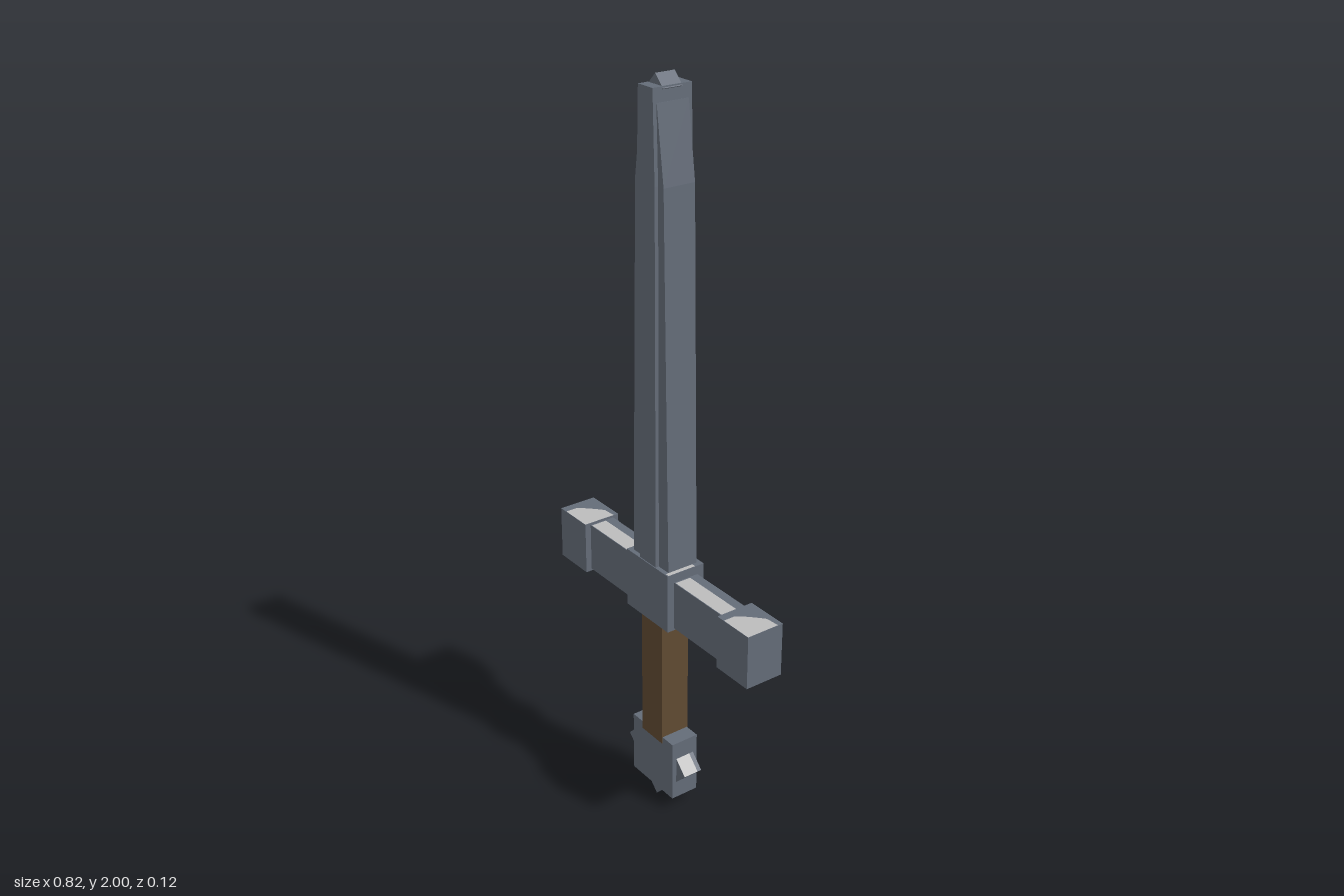
import * as THREE from 'three';

const mat = (name, color) => {
  const m = new THREE.MeshStandardMaterial({ color });
  m.name = name;
  return m;
};

export function createModel() {
  const steel = mat('steel', 0x646c78);
  const leather = mat('brown grip', 0x604a32);
  const shine = mat('pale steel', 0xbcbcbc);
  const sword = new THREE.Group();
  sword.name = 'sword';

  const add = (name, geometry, material, x = 0, y = 0, z = 0, parent = sword) => {
    const mesh = new THREE.Mesh(geometry, material);
    mesh.name = name;
    mesh.position.set(x, y, z);
    parent.add(mesh);
    return mesh;
  };
  // Box given by its width, bottom, top and depth
  const block = (name, material, x, w, y0, y1, d) =>
    add(name, new THREE.BoxGeometry(w, y1 - y0, d), material, x, (y0 + y1) / 2, 0);

  // Symmetrical slab from a right-hand outline of [x, y] points
  const slab = (name, half, depth) => {
    const pts = [...half, ...half.slice().reverse().map(([x, y]) => [-x, y])];
    const shape = new THREE.Shape(pts.map(([x, y]) => new THREE.Vector2(x, y)));
    const geo = new THREE.ExtrudeGeometry(shape, { depth, bevelEnabled: false });
    add(name, geo.translate(0, 0, -depth / 2), steel);
  };

  // Flat inlay on an upward face, outline in [x, z]
  const inlay = (name, pts, x, y) => {
    const shape = new THREE.Shape(pts.map(([px, pz]) => new THREE.Vector2(px, -pz)));
    add(name, new THREE.ShapeGeometry(shape).rotateX(-Math.PI / 2), shine, x, y + 0.001, 0);
  };

  // Square bar turned on its corner; r is half its diagonal
  const spike = (name, x, y, r, d) => {
    const s = r * Math.SQRT2;
    const mesh = add(name, new THREE.BoxGeometry(s, s, d), steel, x, y, 0);
    mesh.rotation.z = Math.PI / 4;
    return mesh;
  };

  // Blade: cutting edges, thicker central ridge and tip
  slab('bladeEdges', [[0.077, 0.7], [0.056, 1.75], [0.03, 1.94]], 0.09);
  slab('bladeRidge', [[0.035, 0.7], [0.035, 1.75], [0.028, 1.975]], 0.11);
  spike('bladeTip', 0, 1.97, 0.03, 0.054);

  // Crossguard
  block('guardCentre', steel, 0, 0.18, 0.583, 0.75, 0.115);
  inlay('guardCentreInlay', [[0.078, -0.03], [0.09, -0.03], [0.09, 0.055], [0.078, 0.055]], 0, 0.75);
  for (const s of [-1, 1]) {
    block('guardArm', steel, s * 0.19, 0.22, 0.589, 0.725, 0.074);
    block('guardEnd', steel, s * 0.35, 0.12, 0.583, 0.731, 0.108);
    inlay('guardArmInlay', [[-0.095, -0.01], [0.1, -0.01], [0.1, 0.036], [-0.095, 0.036]], s * 0.19, 0.725);
    inlay('guardEndInlay', [[-0.034, 0.054], [-0.034, 0.022], [-0.022, 0.005], [0, -0.017],
      [0.022, -0.036], [0.06, -0.039], [0.06, 0.054]], s * 0.35, 0.731);
  }

  // Grip
  block('grip', leather, 0, 0.09, 0.2, 0.6, 0.086);

  // Pommel with three spikes
  block('pommel', steel, 0, 0.18, 0.042, 0.22, 0.082);
  spike('pommelSpikeBottom', 0, 0.041, 0.041, 0.056);
  spike('pommelSpikeRight', -0.09, 0.131, 0.038, 0.056);
  const left = spike('pommelSpikeLeft', 0.09, 0.131, 0.038, 0.056);
  // Pale facet on the upper outer side of one spike
  const facet = new THREE.PlaneGeometry(0.0535, 0.043).rotateY(Math.PI / 2).rotateX(Math.PI / 2);
  add('spikeInlay', facet, shine, 0.038 / Math.SQRT2 + 0.001, 0, 0.0065, left);

  return sword;
}
